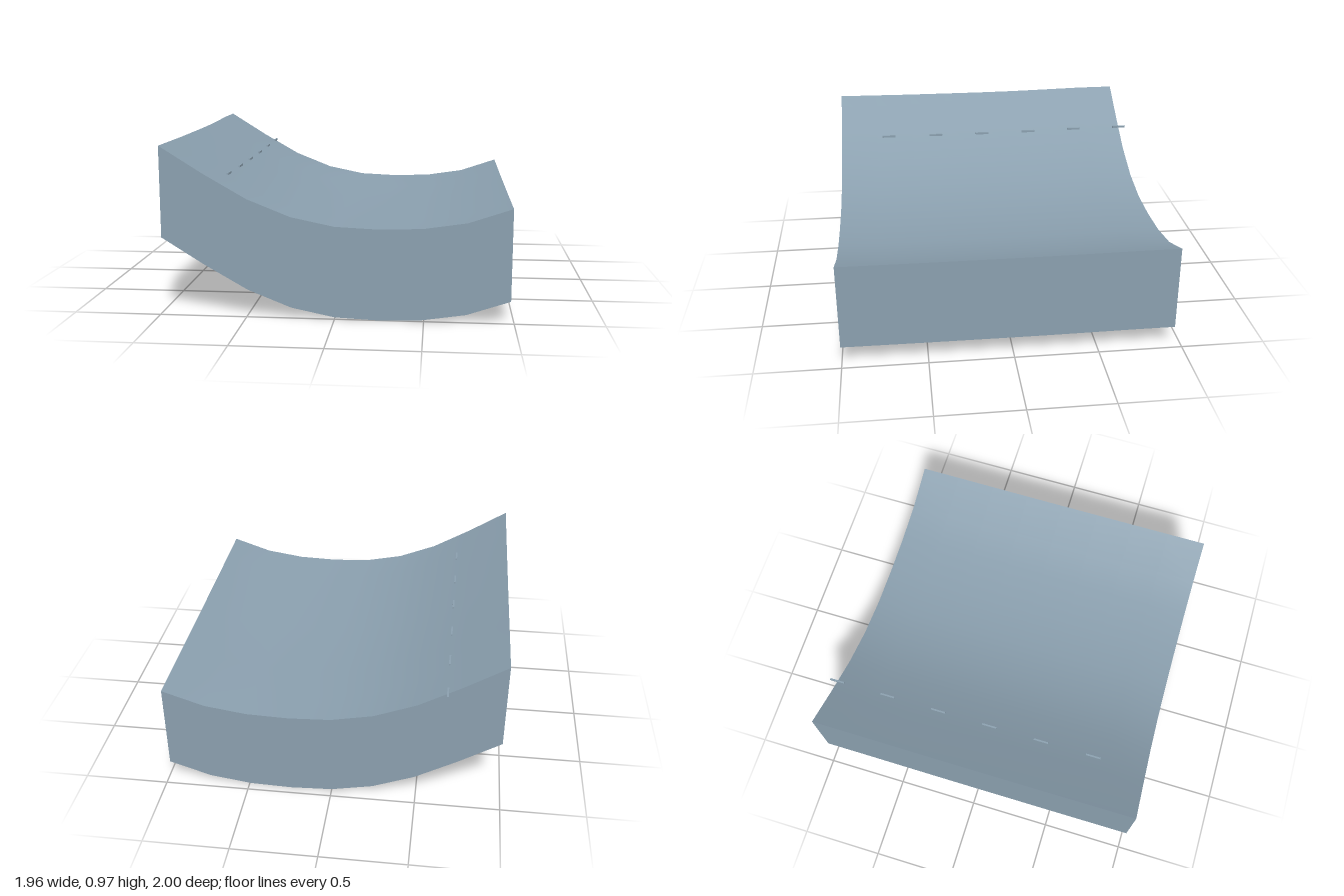
import * as THREE from 'three';

const HALF_X = 0.98, FRONT = 1, BACK = -0.955, DEPTH = 0.52, SEGS = 8;
// Height of the curved bed from left to right, and its slight sway from back to front
const PROFILE = [0.973, 0.82, 0.68, 0.583, 0.533, 0.522, 0.53, 0.567, 0.65];
const SWAY = [0.002, 0.002, -0.003, -0.007, -0.008, -0.007, -0.006, -0.003, 0];

function sample(list, t) {
  const f = THREE.MathUtils.clamp(t, 0, 1) * (list.length - 1);
  const i = Math.min(Math.floor(f), list.length - 2);
  return THREE.MathUtils.lerp(list[i], list[i + 1], f - i);
}

// Bed height at fractions u (along x) and v (back to front)
function height(u, v) {
  const fade = 1 - 0.6 * u;
  return sample(PROFILE, u) + sample(SWAY, v) * fade;
}

const xAt = (u) => THREE.MathUtils.lerp(-HALF_X, HALF_X, u);
const zAt = (v) => THREE.MathUtils.lerp(BACK, FRONT, v);

// Grid surface whose vertices follow point(a, b)
function surface(name, nA, nB, material, point) {
  const geometry = new THREE.PlaneGeometry(1, 1, nA, nB);
  const pos = geometry.attributes.position;
  for (let j = 0, k = 0; j <= nB; j++) {
    for (let i = 0; i <= nA; i++, k++) pos.setXYZ(k, ...point(i / nA, j / nB));
  }
  geometry.computeVertexNormals();
  const mesh = new THREE.Mesh(geometry, material);
  mesh.name = name;
  return mesh;
}

export function createModel() {
  const group = new THREE.Group();
  group.name = 'curvedGroundSection';
  const slate = new THREE.MeshStandardMaterial({ color: 0x8a9fae, side: THREE.DoubleSide });
  slate.name = 'slateBlue';

  // Smooth curved bed
  group.add(surface('curvedBed', SEGS, SEGS, slate, (a, b) => [xAt(a), height(a, b), zAt(b)]));

  // Skirt walls hang from the bed edges; the underside stays open
  const edges = {
    frontWall: (a) => [a, 1],
    backWall: (a) => [1 - a, 0],
    leftWall: (a) => [1, 1 - a],
    rightWall: (a) => [0, a],
  };
  for (const [name, edge] of Object.entries(edges)) {
    group.add(surface(name, SEGS, 1, slate, (a, b) => {
      const [u, v] = edge(a);
      return [xAt(u), height(u, v) - b * DEPTH, zAt(v)];
    }));
  }

  // Row of small dashes set into the slope
  const dash = new THREE.BoxGeometry(0.01, 0.013, 0.09);
  const u = (-0.655 + HALF_X) / (2 * HALF_X);
  for (let i = 0; i < 6; i++) {
    const z = -0.955 + i * 0.326;
    const mesh = new THREE.Mesh(dash, slate);
    mesh.name = `slopeDash${i + 1}`;
    mesh.position.set(-0.655, height(u, (z - BACK) / (FRONT - BACK)) + 0.005, z);
    group.add(mesh);
  }
  return group;
}
